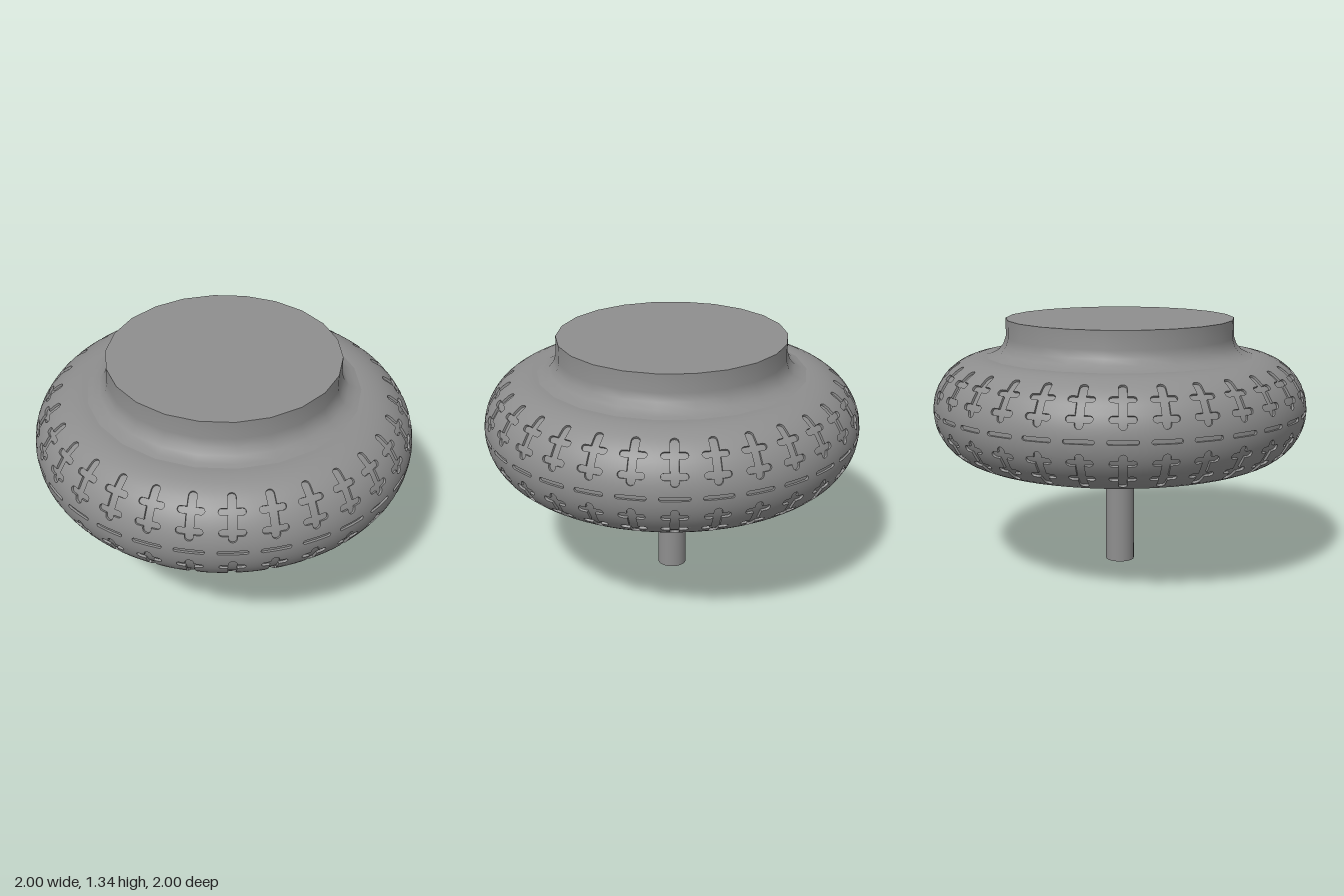
import * as THREE from 'three';

const RING = 0.72, TUBE = 0.28, MID = 0.862, DEPTH = 0.012;
const TILES = 30, HALF_TILE = Math.PI / TILES;

// Grooves of one tile, measured as arc length from the equator; each one is a
// rounded bar: centre, half height, half width. Mirrored below the equator.
const crossbars = [
  { c: 0, h: 0.011, w: 0.076 },
  { c: 0.108, h: 0.017, w: 0.066 },
  { c: 0.209, h: 0.017, w: 0.066 },
];
const upright = { c: 0.181, h: 0.122, w: 0.021 };
const bars = [...crossbars, upright];

// Half width of the groove at arc length s
function grooveWidth(s) {
  let best = 0;
  for (const { c, h, w } of bars) {
    const d = Math.abs(Math.abs(s) - c);
    if (d >= h) continue;
    const r = Math.min(h, w);
    const over = Math.max(0, d - (h - r));
    best = Math.max(best, w - r + Math.sqrt(r * r - over * over));
  }
  return best;
}

// Arc lengths at which the tread is sampled
function treadRows() {
  const rows = [], limit = TUBE * Math.PI / 2, e = 1e-5;
  for (let i = -10; i <= 10; i++) rows.push(limit * i / 10);
  for (const { c, h, w } of bars) {
    const r = Math.min(h, w);
    for (const k of [-e, e, r * 0.15, r * 0.5, r]) {
      for (const s of [c - h + k, c + h - k]) rows.push(s, -s);
    }
  }
  return rows.sort((a, b) => a - b).filter((s, i, all) => i === 0 || s - all[i - 1] > 1e-7);
}

// Rounded ring with grooves sunk into it
function treadGeometry() {
  const positions = [], normals = [];
  const rows = treadRows().map((s) => {
    const v = s / TUBE;
    return { v, u: grooveWidth(s) / (RING + TUBE * Math.cos(v)) };
  });
  const point = (u, v, depth) => {
    const r = RING + (TUBE - depth) * Math.cos(v);
    return {
      p: new THREE.Vector3(r * Math.sin(u), MID + (TUBE - depth) * Math.sin(v), r * Math.cos(u)),
      n: new THREE.Vector3(Math.cos(v) * Math.sin(u), Math.sin(v), Math.cos(v) * Math.cos(u)),
    };
  };
  const triangle = (a, b, c, smooth) => {
    const face = b.p.clone().sub(a.p).cross(c.p.clone().sub(a.p));
    if (face.length() < 1e-12) return;
    face.normalize();
    for (const q of [a, b, c]) {
      positions.push(...q.p.toArray());
      normals.push(...(smooth ? q.n : face).toArray());
    }
  };
  for (let t = 0; t < TILES; t++) {
    const centre = HALF_TILE * (2 * t + 1);
    for (const side of [1, -1]) {
      const quad = (corners, smooth) => {
        const q = corners.map(([u, v, d]) => point(centre + side * u, v, d));
        if (side < 0) q.reverse();
        triangle(q[0], q[1], q[2], smooth);
        triangle(q[0], q[2], q[3], smooth);
      };
      for (let i = 0; i + 1 < rows.length; i++) {
        const a = rows[i], b = rows[i + 1];
        // raised surface
        quad([[a.u, a.v, 0], [HALF_TILE, a.v, 0], [HALF_TILE, b.v, 0], [b.u, b.v, 0]], true);
        if (a.u === 0 && b.u === 0) continue;
        // groove floor and wall
        quad([[0, a.v, DEPTH], [a.u, a.v, DEPTH], [b.u, b.v, DEPTH], [0, b.v, DEPTH]], true);
        quad([[a.u, a.v, DEPTH], [a.u, a.v, 0], [b.u, b.v, 0], [b.u, b.v, DEPTH]], false);
      }
    }
  }
  const geometry = new THREE.BufferGeometry();
  geometry.setAttribute('position', new THREE.Float32BufferAttribute(positions, 3));
  geometry.setAttribute('normal', new THREE.Float32BufferAttribute(normals, 3));
  return geometry;
}

export function createModel() {
  const group = new THREE.Group();
  const darkGrey = new THREE.MeshStandardMaterial({ color: 0x8e8e8e });
  const add = (name, geometry, y = 0) => {
    const mesh = new THREE.Mesh(geometry, darkGrey);
    mesh.name = name;
    mesh.position.y = y;
    group.add(mesh);
  };

  // Grooved ring and the flat faces closing it
  add('groovedRing', treadGeometry());
  add('underside', new THREE.CircleGeometry(RING, 2 * TILES).rotateX(Math.PI / 2), MID - TUBE);
  add('shoulder', new THREE.RingGeometry(0.55, RING, 2 * TILES).rotateX(-Math.PI / 2), MID + TUBE);

  // Neck flaring into the shoulder, with a flat top
  const neck = [[0.735, 1.137], [0.69, 1.148], [0.65, 1.168], [0.625, 1.198], [0.611, 1.24],
    [0.61, 1.337]].map(([r, y]) => new THREE.Vector2(r, y));
  add('neck', new THREE.LatheGeometry(neck, 22));
  add('neckTop', new THREE.CircleGeometry(0.61, 22, Math.PI / 2).rotateX(-Math.PI / 2), 1.337);

  // Tapered collar and post
  add('collar', new THREE.CylinderGeometry(0.26, 0.095, 0.106, 32), 0.531);
  add('post', new THREE.CylinderGeometry(0.077, 0.077, 0.5, 32), 0.25);
  return group;
}
